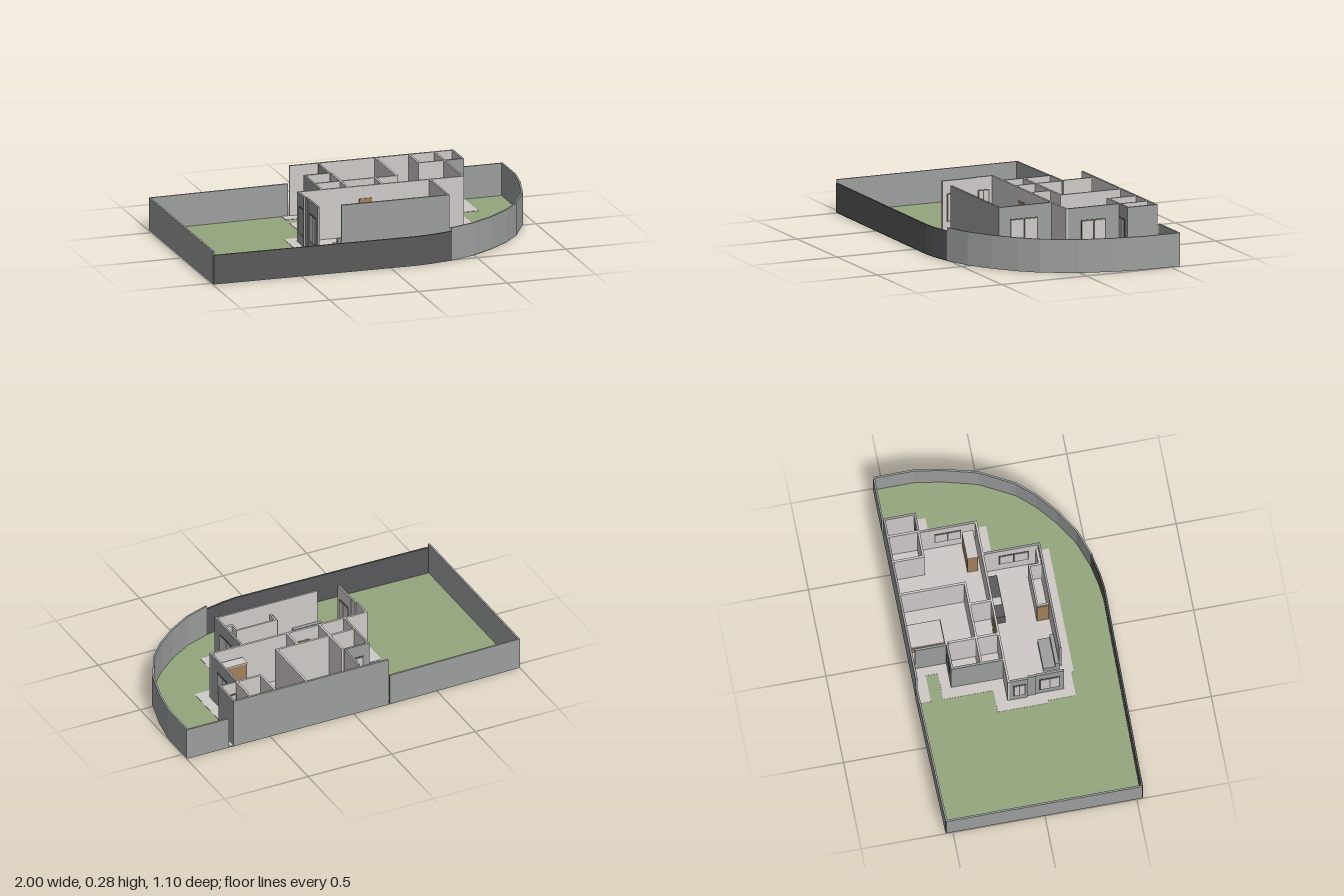
import * as THREE from 'three';

const mat = (name, color) => {
  const m = new THREE.MeshStandardMaterial({ color });
  m.name = name;
  return m;
};

export function createModel() {
  const root = new THREE.Group();
  root.name = 'walledHouse';
  const grass = mat('grass green', 0x93a67c);
  const plaster = mat('pale plaster', 0xcfcac8);
  const grey = mat('wall grey', 0x9c9f9d);
  const dark = mat('dark grey', 0x59595b);
  const wood = mat('brown wood', 0xa08158);

  const add = (name, geo, material, parent = root) => {
    const m = new THREE.Mesh(geo, material);
    m.name = name;
    parent.add(m);
    return m;
  };
  // Box given by its limits on each axis
  const box = (name, x0, x1, y0, y1, z0, z1, material, parent = root) => {
    const m = add(name, new THREE.BoxGeometry(x1 - x0, y1 - y0, z1 - z0), material, parent);
    m.position.set((x0 + x1) / 2, (y0 + y1) / 2, (z0 + z1) / 2);
    return m;
  };
  // Flat slab from a plan outline of [x, z] points
  const slab = (name, pts, y0, y1, material, hole) => {
    const toV = (list) => list.map(([x, z]) => new THREE.Vector2(x, -z));
    const shape = new THREE.Shape(toV(pts));
    if (hole) shape.holes.push(new THREE.Path(toV(hole)));
    const g = new THREE.ExtrudeGeometry(shape, { depth: y1 - y0, bevelEnabled: false });
    g.rotateX(-Math.PI / 2).translate(0, y0, 0);
    return add(name, g, material);
  };

  // Ground, paving and floor
  const curve = [[0.995, -0.33], [0.97, -0.18], [0.92, 0.005], [0.82, 0.19], [0.735, 0.285],
    [0.62, 0.38], [0.49, 0.46], [0.35, 0.51]];
  const front = [[0.35, 0.51], [0.24, 0.533], [0.15, 0.543], [-0.995, 0.53]];
  slab('lawn', [[-0.995, -0.537], [-0.2, -0.552], [0.995, -0.552], ...curve, ...front.slice(1)], 0.001, 0.005, grass);
  const rooms = [[0.715, -0.545], [0.715, -0.385], [0.61, -0.385], [0.61, -0.07], [0.425, -0.07],
    [0.425, 0.24], [-0.31, 0.24], [-0.31, -0.07], [-0.185, -0.07], [-0.185, -0.35], [-0.045, -0.35], [-0.045, -0.545]];
  slab('paving', [[0.78, -0.55], [0.78, -0.31], [0.675, -0.31], [0.675, 0], [0.487, 0], [0.487, 0.305],
    [-0.225, 0.305], [-0.225, 0.29], [-0.36, 0.29], [-0.36, 0.14], [-0.375, 0.14], [-0.375, -0.137],
    [-0.25, -0.137], [-0.25, -0.41], [-0.1, -0.41], [-0.1, -0.477], [-0.25, -0.477], [-0.25, -0.55]],
  0, 0.007, plaster, rooms);
  slab('floor', rooms, 0.004, 0.007, plaster);

  // Garden wall, one straight piece per pair of points
  const fence = (name, pts, h, material) => {
    const g = new THREE.Group();
    g.name = name;
    root.add(g);
    for (let i = 0; i + 1 < pts.length; i++) {
      const [ax, az] = pts[i], [bx, bz] = pts[i + 1];
      const m = add('wallPiece', new THREE.BoxGeometry(Math.hypot(bx - ax, bz - az) + 0.003, h - 0.005, 0.01), material, g);
      m.position.set((ax + bx) / 2, (h + 0.005) / 2, (az + bz) / 2);
      m.rotation.y = -Math.atan2(bz - az, bx - ax);
    }
  };
  fence('frontGardenWall', front, 0.165, dark);
  fence('curvedGardenWall', [[0.75, -0.55], [0.995, -0.55], ...curve], 0.185, grey);
  fence('sideGardenWall', [[-0.995, 0.53], [-0.995, -0.535], [-0.6, -0.543], [-0.215, -0.55]], 0.185, grey);

  // House walls; outside lists the grey faces (px, nx, pz, nz)
  const H = 0.285, T = 0.006;
  const wall = (name, x0, z0, x1, z1, outside = '') => {
    const side = (k) => (outside.includes(k) ? grey : plaster);
    const top = outside ? grey : plaster;
    return box(name, x0 - T, x1 + T, 0.005, H, z0 - T, z1 + T,
      [side('px'), side('nx'), top, top, side('pz'), side('nz')]);
  };
  wall('backWall', -0.2, -0.547, 0.715, -0.547, 'nz px nx');
  wall('rightBackWall', 0.715, -0.535, 0.715, -0.38, 'px pz');
  wall('rightStepWall', 0.622, -0.38, 0.703, -0.38, 'pz');
  wall('rightWall', 0.61, -0.38, 0.61, -0.08, 'px');
  wall('frontRightWall', 0.425, -0.056, 0.425, 0.24, 'px pz');
  wall('frontWall', -0.172, 0.24, 0.413, 0.24, 'pz nx');
  wall('leftLivingWall', -0.315, -0.056, -0.315, 0.03, 'nx');
  wall('leftJogWall', -0.308, 0.042, -0.308, 0.075, 'nx pz');
  wall('leftFrontWall', -0.305, 0.087, -0.305, 0.23, 'nx pz');
  wall('leftWall', -0.185, -0.338, -0.185, -0.08, 'nx');
  wall('leftStepWall', -0.185, -0.35, -0.054, -0.35, 'nz nx');
  wall('leftBackWall', -0.045, -0.52, -0.045, -0.362, 'nx');

  // Inner partitions
  wall('livingPartition', -0.315, -0.068, 0.61, -0.068);
  wall('hallPartition', -0.173, -0.19, 0.28, -0.19);
  wall('bedroomPartition', 0.28, -0.535, 0.28, -0.202);
  wall('passagePartition', -0.036, -0.338, -0.036, -0.08);
  wall('bathPartition', 0.157, -0.178, 0.157, -0.08);
  wall('smallRoomFront', 0.47, -0.38, 0.598, -0.38);
  wall('smallRoomLeft', 0.47, -0.535, 0.47, -0.392);
  wall('smallRoomRight', 0.615, -0.535, 0.615, -0.392);

  // Alcove behind the front wall
  const nook = (x0, x1, z0, z1) => box('alcoveWall', x0, x1, 0.005, 0.22, z0, z1, plaster);
  nook(0.1, 0.34, 0.165, 0.175);
  nook(0.1, 0.11, 0.175, 0.23);
  nook(0.33, 0.34, 0.175, 0.234);
  nook(0.34, 0.419, 0.22, 0.234);
  box('alcovePanel', 0.094, 0.1, 0.007, 0.215, 0.165, 0.23, wood);

  // Windows: dark frame with two panes, showing on both sides of a wall
  const windowUnit = (name, x, z, alongZ, w, y0 = 0.09, y1 = 0.215) => {
    const g = new THREE.Group();
    g.name = name;
    root.add(g);
    const h = y1 - y0, b = 0.007, paneW = w / 2 - 1.5 * b;
    box('frame', -w / 2, w / 2, 0, h, -T - 0.002, T + 0.002, dark, g);
    for (const s of [-1, 1]) {
      const c = s * (paneW + b) / 2;
      box('pane', c - paneW / 2, c + paneW / 2, b, h - b, -T - 0.004, T + 0.004, plaster, g);
    }
    g.position.set(x, y0, z);
    if (alongZ) g.rotation.y = Math.PI / 2;
  };
  windowUnit('rightWindow', 0.61, -0.223, true, 0.145);
  windowUnit('frontRightWindow', 0.425, 0.1, true, 0.165);
  windowUnit('rightStepWindow', 0.655, -0.38, false, 0.07);
  windowUnit('leftStepWindow', -0.115, -0.35, false, 0.08, 0.12);
  windowUnit('leftLivingWindow', -0.315, -0.01, true, 0.07, 0.06);
  windowUnit('leftFrontWindow', -0.305, 0.158, true, 0.11, 0.06);

  // Doors
  box('hallDoor', 0.025, 0.095, 0.007, 0.215, -0.077, -0.059, wood);

  // Furniture
  box('bedFrame', 0.043, 0.183, 0.007, 0.055, -0.53, -0.343, wood);
  box('mattress', 0.047, 0.179, 0.055, 0.065, -0.526, -0.347, plaster);
  box('cabinet', 0.435, 0.587, 0.007, 0.215, -0.147, -0.09, wood);
  box('cabinetTop', 0.433, 0.589, 0.215, 0.222, -0.149, -0.088, plaster);
  box('kitchenCounter', 0.118, 0.357, 0.007, 0.1, -0.062, -0.002, dark);
  box('sink', 0.188, 0.23, 0.1, 0.104, -0.05, -0.008, plaster);
  box('sofaSeat', -0.195, -0.025, 0.007, 0.05, 0.145, 0.21, grey);
  box('sofaBack', -0.195, -0.025, 0.007, 0.095, 0.21, 0.232, grey);

  return root;
}
